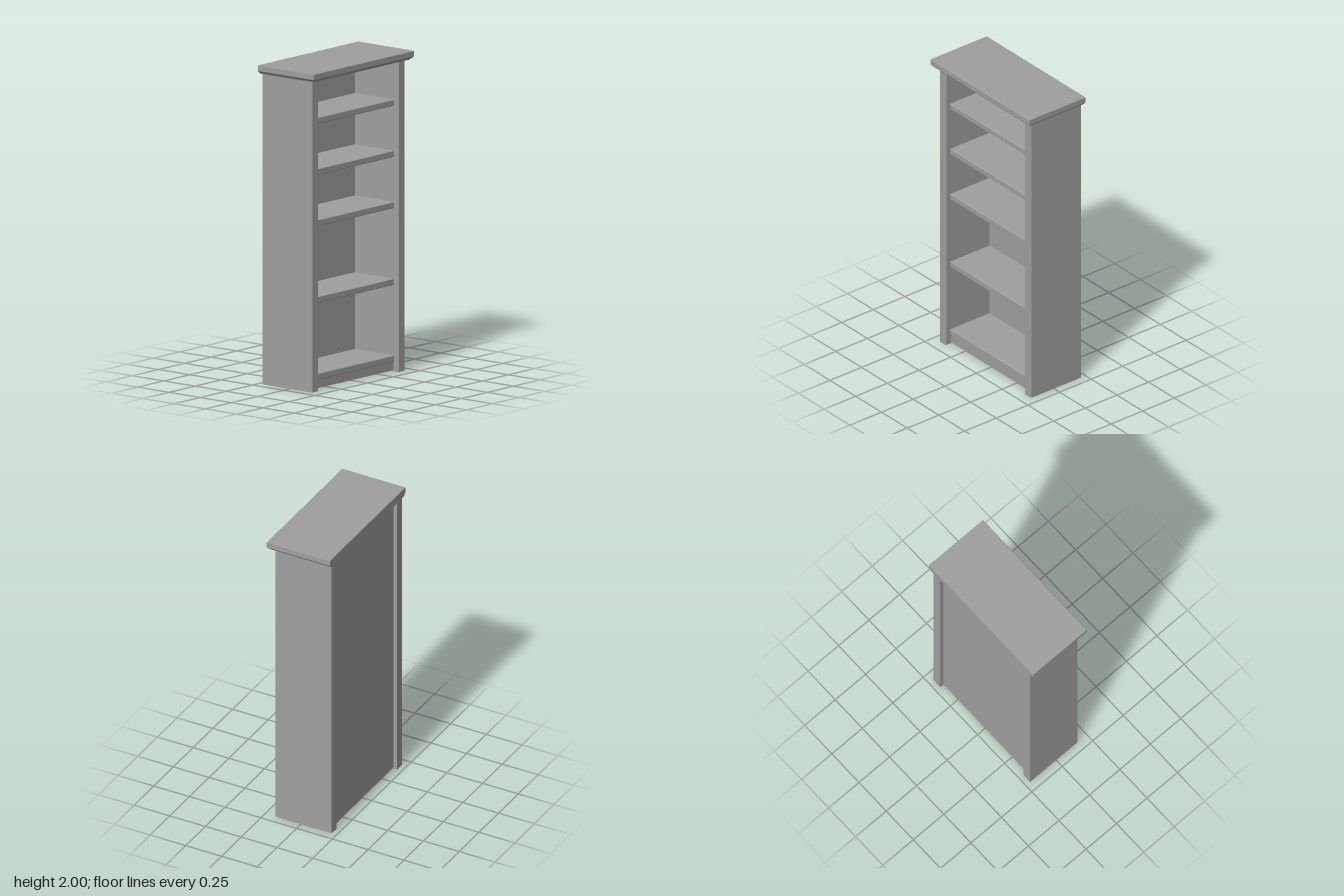
import * as THREE from 'three';

export function createModel() {
  const model = new THREE.Group();
  const grey = new THREE.MeshStandardMaterial({ color: 0x9f9f9f });
  const inner = 0.383, outer = 0.445, front = 0.18, back = -0.215;

  function add(name, geometry) {
    const mesh = new THREE.Mesh(geometry, grey);
    mesh.name = name;
    model.add(mesh);
    return mesh;
  }

  // Board spanning between the sides, given by its limits in y and z
  function board(name, y0, y1, z0, z1) {
    const geometry = new THREE.BoxGeometry(inner * 2, y1 - y0, z1 - z0);
    geometry.translate(0, (y0 + y1) / 2, (z0 + z1) / 2);
    add(name, geometry);
  }

  function extrude(points, depth) {
    const shape = new THREE.Shape(points.map(([x, y]) => new THREE.Vector2(x, y)));
    return new THREE.ExtrudeGeometry(shape, { depth, bevelEnabled: false });
  }

  // Side panels with eased front edges, mirrored
  const c = 0.005;
  const sideSection = [ // x, -z
    [inner, -back], [inner, -front + c], [inner + c, -front],
    [outer - c, -front], [outer, -front + c], [outer, -back],
  ];
  const side = extrude(sideSection, 1.95);
  side.rotateX(-Math.PI / 2);
  add('leftSide', side);
  add('rightSide', side).scale.x = -1;

  // Back panel, recessed between the sides
  board('backPanel', 0.007, 1.95, -0.19, -0.167);

  // Shelves with a slightly eased front edge
  const shelfBack = -0.167, shelfFront = 0.144, thick = 0.04, ease = 0.004;
  const shelfSection = [ // -z, y below the top
    [-shelfBack, -thick], [-shelfFront + ease, -thick], [-shelfFront, -thick + ease],
    [-shelfFront, -ease], [-shelfFront + ease, 0], [-shelfBack, 0],
  ];
  [0.1, 0.58, 1.06, 1.38, 1.7].forEach((top, i) => {
    const shelf = extrude(shelfSection, inner * 2);
    shelf.rotateY(Math.PI / 2);
    shelf.translate(-inner, top, 0);
    add('shelf' + (i + 1), shelf);
  });

  // Rail under the lowest shelf
  board('kickRail', 0.007, 0.061, 0.117, 0.14);

  // Moulded top: the front and ends step outwards, the back stays straight
  const layers = [ // height, half width, front depth
    [1.945, 0.462, 0.204],
    [1.951, 0.465, 0.207],
    [1.955, 0.472, 0.214],
    [1.964, 0.48, 0.222],
    [1.997, 0.48, 0.222],
    [2.0, 0.479, 0.219],
  ];
  const steps = layers.length - 1;
  const cap = new THREE.BoxGeometry(1, 1, 1, 1, steps, 1);
  const p = cap.attributes.position;
  for (let i = 0; i < p.count; i++) {
    const [y, half, depth] = layers[Math.round((p.getY(i) + 0.5) * steps)];
    p.setXYZ(i, Math.sign(p.getX(i)) * half, y, p.getZ(i) > 0 ? depth : -0.222);
  }
  const flatCap = cap.toNonIndexed();
  flatCap.computeVertexNormals();
  add('mouldedTop', flatCap);

  return model;
}
